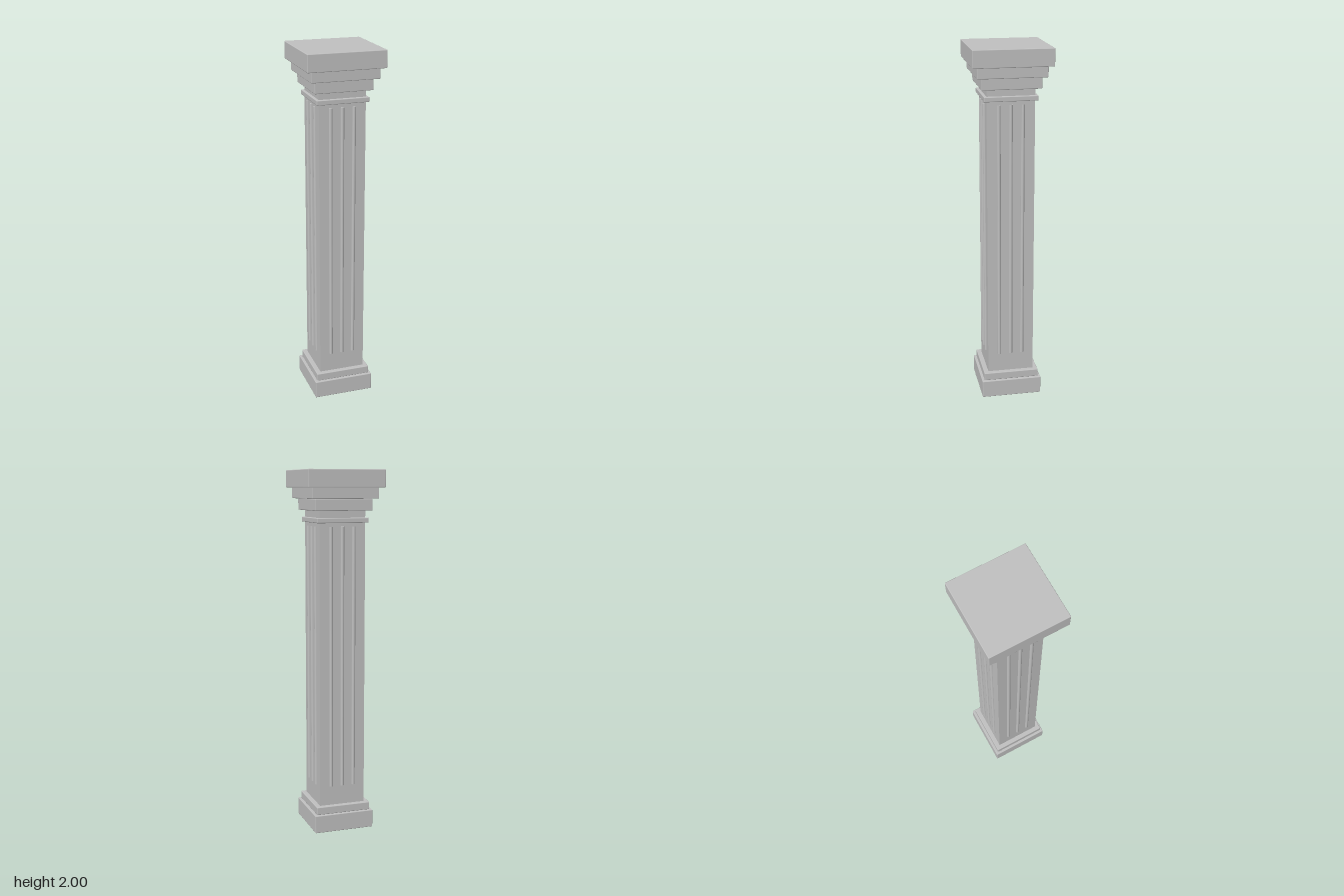
import * as THREE from 'three';
import { RoundedBoxGeometry } from 'three/addons/geometries/RoundedBoxGeometry.js';

export function createModel() {
  const column = new THREE.Group();
  column.name = 'column';
  const stone = new THREE.MeshStandardMaterial({ color: 0xc0c0c0 });
  stone.name = 'grey stone';

  // Square tiers from the ground up: name, half width, bottom, top
  const tiers = [
    ['basePlinth', 0.17, 0, 0.1],
    ['baseStep', 0.156, 0.1, 0.144],
    ['neckBand', 0.145, 1.718, 1.745],
    ['capitalLowerStep', 0.161, 1.783, 1.846],
    ['capitalUpperStep', 0.188, 1.846, 1.905],
    ['capitalSlab', 0.215, 1.905, 2],
  ];
  for (const [name, half, bottom, top] of tiers) {
    const tier = new THREE.Mesh(
      new RoundedBoxGeometry(half * 2, top - bottom, half * 2, 2, 0.004), stone);
    tier.position.y = (bottom + top) / 2;
    tier.name = name;
    column.add(tier);
  }

  // Plain square shaft
  const shaft = new THREE.Mesh(new THREE.BoxGeometry(0.26, 1.65, 0.26), stone);
  shaft.position.y = 0.14 + 1.65 / 2;
  shaft.name = 'shaft';
  column.add(shaft);

  // Three slim round ribs on each of the four faces
  const ribBottom = 0.253, ribTop = 1.698;
  const ribGeometry = new THREE.CylinderGeometry(0.01, 0.01, ribTop - ribBottom, 16);
  for (let side = 0; side < 4; side++) {
    const face = new THREE.Group();
    face.name = 'shaftFaceRibs';
    face.rotation.y = side * Math.PI / 2;
    for (const x of [-0.065, 0, 0.065]) {
      const rib = new THREE.Mesh(ribGeometry, stone);
      rib.position.set(x, (ribBottom + ribTop) / 2, 0.13);
      rib.name = 'rib';
      face.add(rib);
    }
    column.add(face);
  }
  return column;
}
